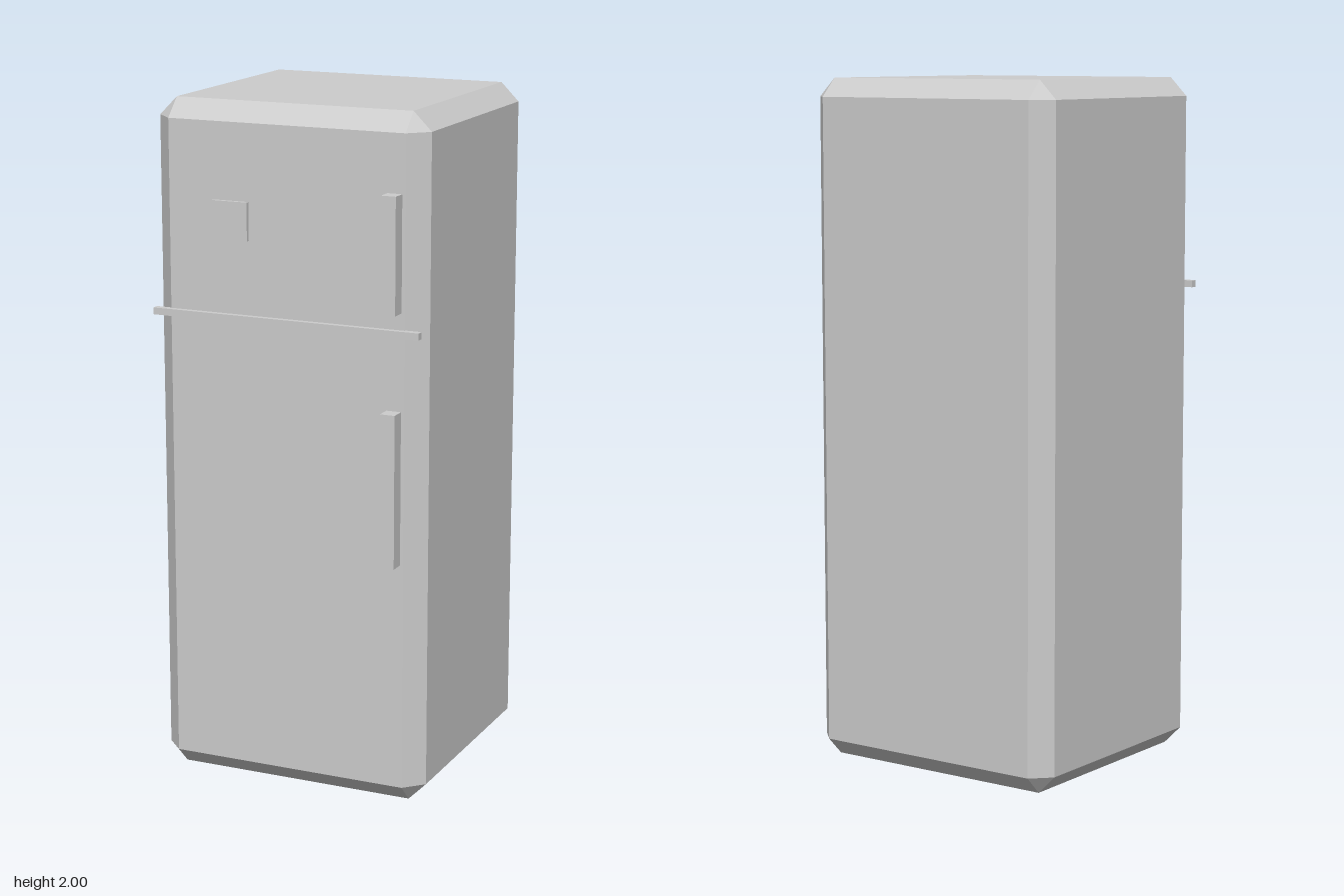
import * as THREE from 'three';
import { ConvexGeometry } from 'three/addons/geometries/ConvexGeometry.js';

const grey = new THREE.MeshStandardMaterial({ color: 0xcccccc });
grey.name = 'light grey';

// Box with flat chamfers on every edge and a triangle at every corner
function chamferedBox(w, h, d, c) {
  const points = [];
  for (const x of [-w / 2, w / 2])
    for (const y of [-h / 2, h / 2])
      for (const z of [-d / 2, d / 2]) {
        const sx = Math.sign(x) * c, sy = Math.sign(y) * c, sz = Math.sign(z) * c;
        points.push(
          new THREE.Vector3(x, y - sy, z - sz),
          new THREE.Vector3(x - sx, y, z - sz),
          new THREE.Vector3(x - sx, y - sy, z)
        );
      }
  return new ConvexGeometry(points);
}

export function createModel() {
  const model = new THREE.Group();
  model.name = 'refrigerator';

  // Cabinet
  const body = new THREE.Mesh(chamferedBox(0.83, 2, 0.774, 0.054), grey);
  body.name = 'cabinet';
  body.position.set(0, 1, -0.024);
  model.add(body);

  // Box given by its lower and upper limits
  const addBox = (name, [x0, x1], [y0, y1], [z0, z1]) => {
    const mesh = new THREE.Mesh(new THREE.BoxGeometry(x1 - x0, y1 - y0, z1 - z0), grey);
    mesh.name = name;
    mesh.position.set((x0 + x1) / 2, (y0 + y1) / 2, (z0 + z1) / 2);
    model.add(mesh);
  };

  // Trim bar between the doors
  addBox('doorDivider', [-0.41, 0.41], [1.382, 1.402], [0.359, 0.38]);

  // Door handles on the model's left
  addBox('freezerHandle', [0.308, 0.352], [1.45, 1.78], [0.36, 0.408]);
  addBox('fridgeHandle', [0.308, 0.352], [0.725, 1.17], [0.36, 0.408]);

  // Small plate on the freezer door
  addBox('doorPlate', [-0.222, -0.113], [1.615, 1.725], [0.36, 0.375]);

  return model;
}
